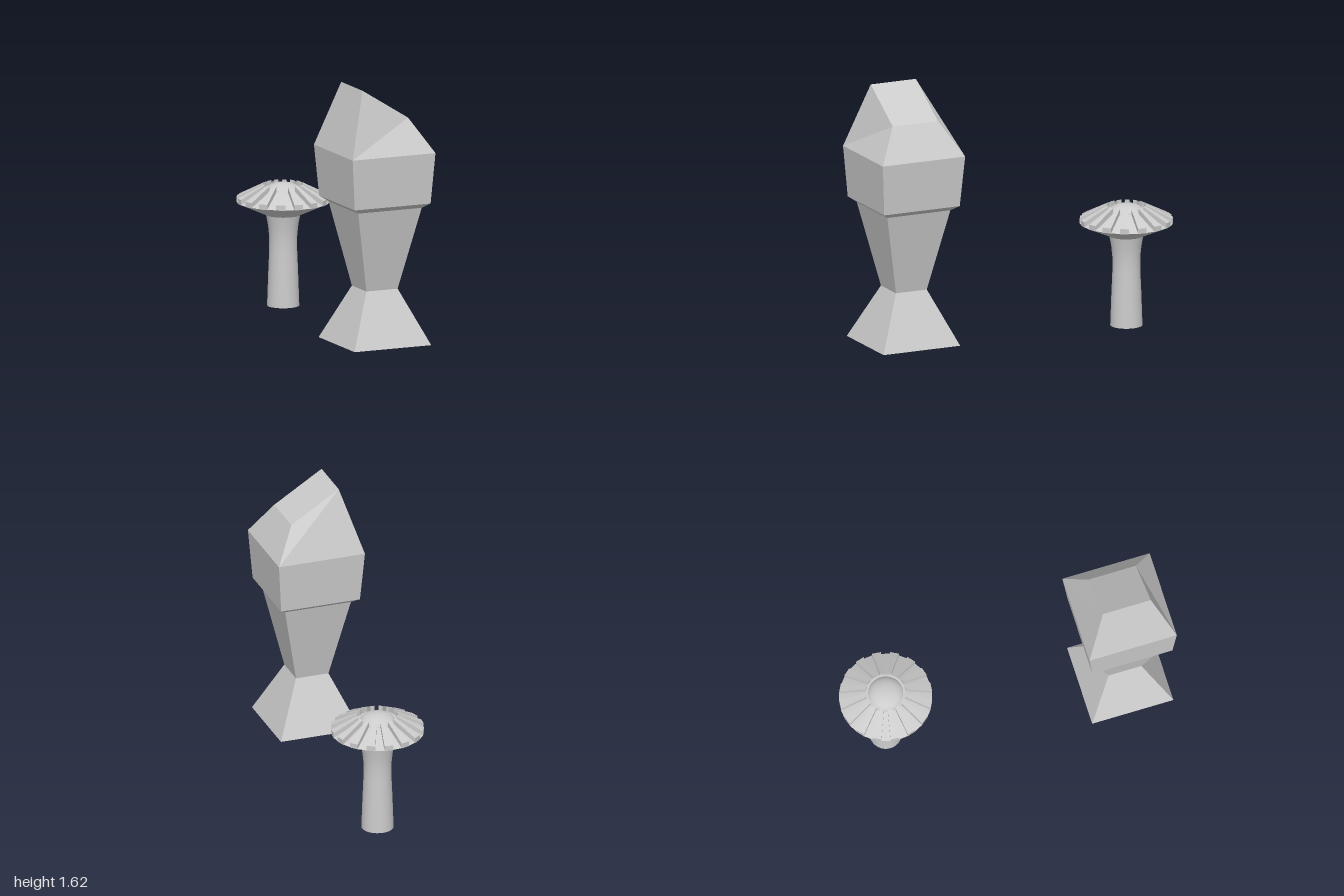
import * as THREE from 'three';
import { toCreasedNormals } from 'three/addons/utils/BufferGeometryUtils.js';

const material = new THREE.MeshStandardMaterial({ color: 0xcccccc, side: THREE.DoubleSide });

// Closed flat-faced solid through four-cornered sections, listed bottom to top,
// each counter-clockwise when seen from above.
function loft(sections) {
  const pos = [];
  const quad = (a, b, c, d) => [a, b, c, a, c, d].forEach((p) => pos.push(...p));
  const first = sections[0];
  const last = sections[sections.length - 1];
  for (let i = 0; i < sections.length - 1; i++) {
    for (let j = 0; j < 4; j++) {
      const k = (j + 1) % 4;
      quad(sections[i][j], sections[i][k], sections[i + 1][k], sections[i + 1][j]);
    }
  }
  quad(first[3], first[2], first[1], first[0]);
  quad(...last);
  const geometry = new THREE.BufferGeometry();
  geometry.setAttribute('position', new THREE.Float32BufferAttribute(pos, 3));
  geometry.computeVertexNormals();
  return geometry;
}

// Rectangular section; the height may differ between its -x and +x edges.
function rect(x0, x1, z0, z1, yLeft, yRight = yLeft) {
  return [[x0, yLeft, z1], [x1, yRight, z1], [x1, yRight, z0], [x0, yLeft, z0]];
}

function addMesh(parent, name, geometry) {
  const mesh = new THREE.Mesh(geometry, material);
  mesh.name = name;
  parent.add(mesh);
  return mesh;
}

function lathe(profile, segments = 32) {
  return new THREE.LatheGeometry(profile.map(([r, y]) => new THREE.Vector2(r, y)), segments);
}

function createBlockyMushroom() {
  const group = new THREE.Group();
  group.name = 'blockyMushroom';
  const foot = rect(-0.295, 0.212, 0.475, 0.985, 0.05);
  const waist = rect(-0.145, 0.062, 0.625, 0.83, 0.38);
  const neck = rect(-0.25, 0.17, 0.52, 0.94, 0.885);
  const lip = rect(-0.292, 0.21, 0.477, 0.98, 0.915);
  const brim = rect(-0.315, 0.233, 0.452, 1.0, 1.225);
  const crown = rect(-0.192, 0.11, 0.575, 0.875, 1.62, 1.43);
  addMesh(group, 'squareStem', loft([foot, waist, neck]));
  addMesh(group, 'slantedCap', loft([neck, lip, brim, crown]));
  return group;
}

function createRibbedMushroom() {
  const group = new THREE.Group();
  group.name = 'ribbedMushroom';
  const inner = 0.12, outer = 0.28;

  // Round stem, open at the bottom
  addMesh(group, 'roundStem', lathe([
    [0.097, 0], [0.09, 0.2], [0.084, 0.34], [0.084, 0.42], [0.091, 0.49], [0.103, 0.555],
  ]));

  // Cap body, whose upper slope is the floor between the ribs
  const cap = lathe([[0, 0.555], [0.103, 0.555], [outer, 0.635], [inner, 0.712], [0, 0.712]]);
  addMesh(group, 'cap', toCreasedNormals(cap, 0.3));

  // Dome in the middle of the cap
  const dome = new THREE.SphereGeometry(0.113, 32, 12, 0, Math.PI * 2, 0, Math.PI / 2);
  dome.scale(1, 0.55, 1);
  addMesh(group, 'dome', dome).position.y = 0.69;

  // Sixteen raised ribs, each one sector wide
  const sector = Math.PI / 16;
  const ribSection = (a, yInner, yOuter) => [
    [inner, a, yInner], [outer, a, yOuter],
    [outer, a + sector, yOuter], [inner, a + sector, yInner],
  ].map(([r, t, y]) => [r * Math.sin(t), y, r * Math.cos(t)]);
  for (let i = 0; i < 16; i++) {
    const a = (2 * i + 1) * sector;
    addMesh(group, 'capRib', loft([ribSection(a, 0.7, 0.633), ribSection(a, 0.745, 0.665)]));
  }

  group.position.set(0.03, 0, -0.72);
  return group;
}

export function createModel() {
  const model = new THREE.Group();
  model.name = 'mushroomPair';
  model.add(createBlockyMushroom(), createRibbedMushroom());
  return model;
}
